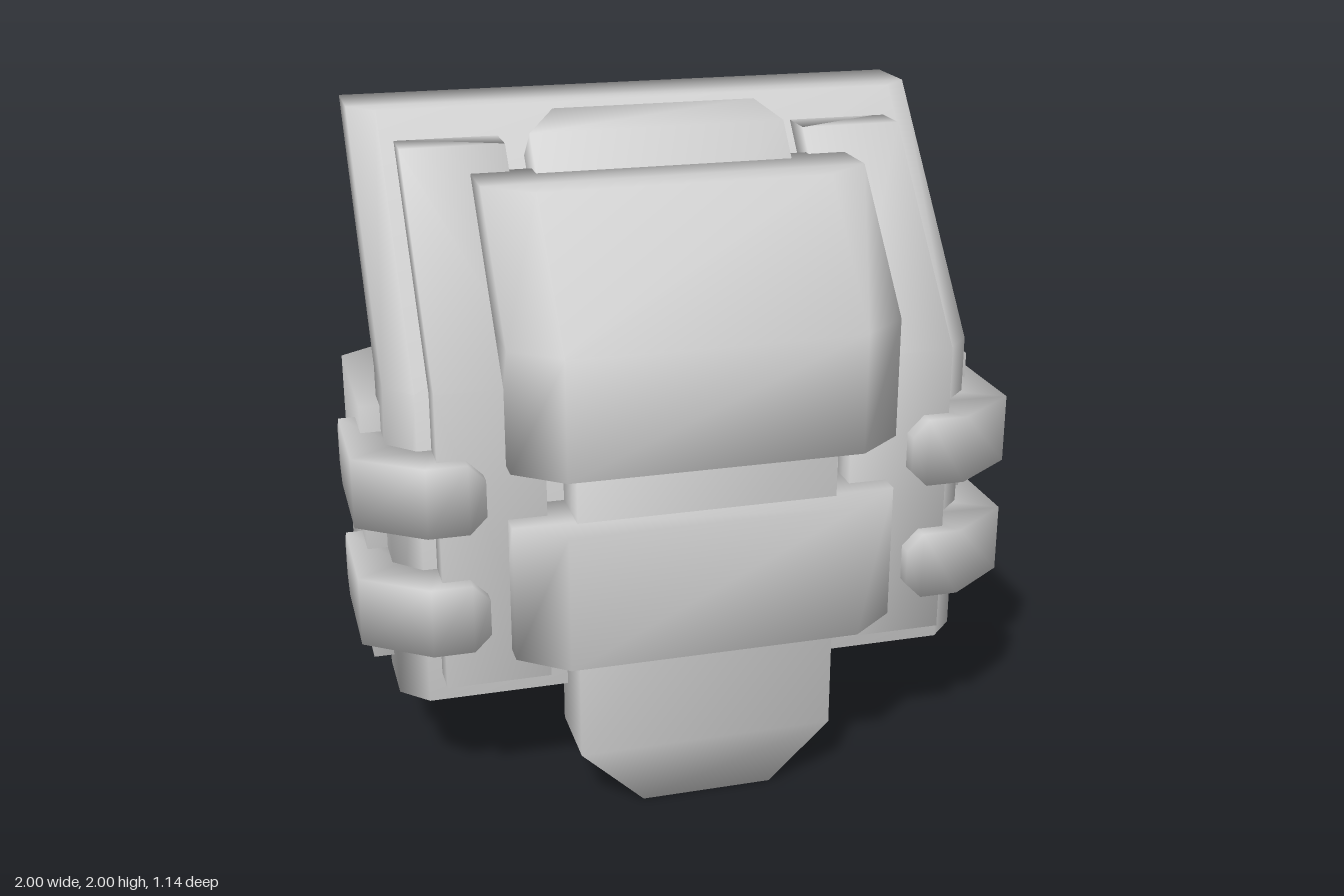
import * as THREE from 'three';

const material = new THREE.MeshStandardMaterial({ color: 0xcccccc });

// Closed skin over a row of rings (equal counts, counter-clockwise seen from the last ring), smooth normals
function loft(rings) {
  const n = rings[0].length, last = (rings.length - 1) * n, index = [];
  for (let i = 0; i < last; i += n) {
    for (let j = 0; j < n; j++) {
      const k = (j + 1) % n;
      index.push(i + j, i + k, i + n + k, i + j, i + n + k, i + n + j);
    }
  }
  for (let j = 1; j < n - 1; j++) {
    index.push(0, j + 1, j, last, last + j, last + j + 1);
  }
  const geometry = new THREE.BufferGeometry();
  geometry.setAttribute('position', new THREE.Float32BufferAttribute(rings.flat(2), 3));
  geometry.setIndex(index);
  geometry.computeVertexNormals();
  return geometry;
}

// Plan outline [x, z] carried through levels [y, z shift]
const column = (plan, levels) =>
  loft(levels.map(([y, dz]) => plan.map(([x, z]) => [x, y, z + dz])));

// Rectangular plan with its two front corners cut off
const chamferedPlan = (w, back, front, cx, cz) => [
  [-w, front - cz], [-w + cx, front], [w - cx, front],
  [w, front - cz], [w, back], [-w, back],
];

// Copy on the other side, with the winding turned to face outward
function mirrored(geometry) {
  const copy = geometry.clone().scale(-1, 1, 1);
  const a = copy.index.array;
  for (let i = 0; i < a.length; i += 3) [a[i], a[i + 1]] = [a[i + 1], a[i]];
  copy.computeVertexNormals();
  return copy;
}

export function createModel() {
  const model = new THREE.Group();
  model.name = 'model';

  const add = (name, geometry) => {
    const mesh = new THREE.Mesh(geometry, material);
    mesh.name = name;
    model.add(mesh);
  };
  const addPair = (name, geometry) => {
    add(name + 'Left', geometry);
    add(name + 'Right', mirrored(geometry));
  };

  // Wide back panel, upper half leaning backward
  add('backPanel', column(chamferedPlan(0.89, 0.02, 0.3, 0.08, 0.08),
    [[0.33, 0], [1.3, 0], [1.99, -0.59]]));

  // Raised strips on the panel
  addPair('panelStrip', column([[0.46, 0.4], [0.77, 0.4], [0.77, 0.26], [0.46, 0.26]],
    [[0.42, 0], [1.33, 0], [1.91, -0.5]]));

  // Central plate: half width, front [y, z], back [y, z]
  const plate = [
    [0.2, [0, 0.48], [0, 0.24]],
    [0.39, [0.18, 0.48], [0.18, 0.24]],
    [0.39, [1.28, 0.48], [1.22, 0.24]],
    [0.39, [1.94, -0.08], [1.79, -0.25]],
    [0.31, [2, -0.13], [1.85, -0.3]],
  ];
  add('centralPlate', loft(plate.map(([w, f, b]) => [[-w, ...f], [w, ...f], [w, ...b], [-w, ...b]])));

  // Front blocks, the upper one leaning with the panel
  const blockPlan = chamferedPlan(0.575, 0.27, 0.575, 0.14, 0.11);
  add('upperFrontBlock', column(blockPlan, [[1.1, 0], [1.46, 0], [1.84, -0.335]]));
  add('lowerFrontBlock', column(blockPlan, [[0.52, 0], [0.935, 0]]));

  // Side boxes behind the panel
  addPair('sideBox', column(
    [[0.57, 0.11], [0.95, 0.11], [0.95, -0.38], [0.71, -0.54], [0.62, -0.54], [0.57, -0.48]],
    [[0.4, 0], [1.21, 0]]));

  // Clips wrapping the front corners: half height, outer [x, z], inner [x, z]
  const clip = [
    [0.055, [0.64, 0.445], [0.64, 0.3]],
    [0.105, [0.69, 0.445], [0.69, 0.3]],
    [0.105, [0.81, 0.445], [0.77, 0.3]],
    [0.105, [1, 0.31], [0.86, 0.23]],
    [0.105, [1, -0.03], [0.86, -0.03]],
    [0.055, [1, -0.08], [0.86, -0.08]],
  ];
  [['upperClip', 1.025], ['lowerClip', 0.655]].forEach(([name, y]) => {
    addPair(name, loft(clip.map(([h, o, i]) => [
      [o[0], y - h, o[1]], [i[0], y - h, i[1]],
      [i[0], y + h, i[1]], [o[0], y + h, o[1]],
    ])));
  });

  return model;
}
